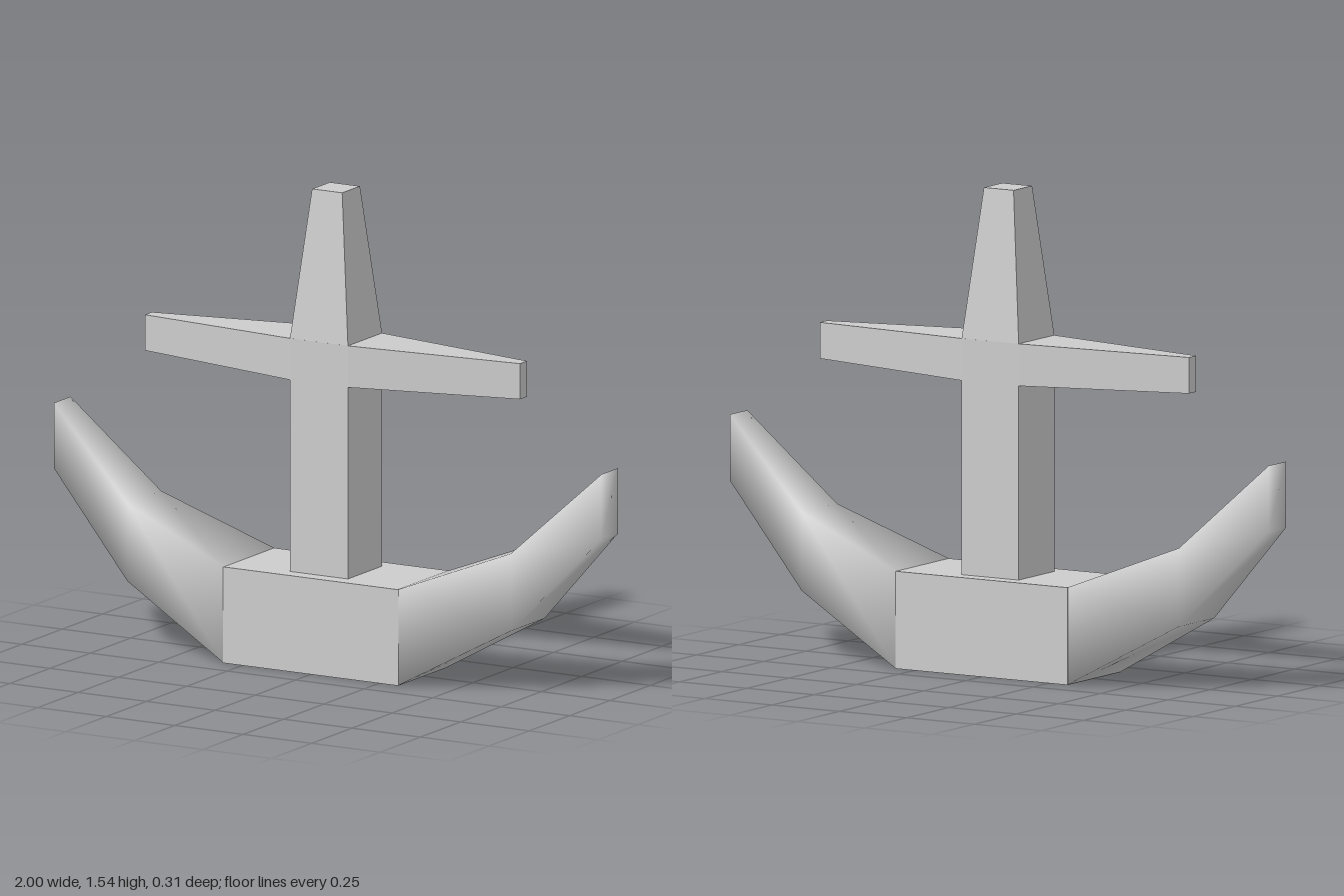
import * as THREE from 'three';

// Skin a row of four-cornered rings, capping both ends.
// Each ring lists its corners anticlockwise as seen from the far end of the row.
function loft(rings, smooth) {
  const index = [];
  const last = (rings.length - 1) * 4;
  for (let r = 0; r < last; r += 4) {
    for (let i = 0; i < 4; i++) {
      const a = r + i, b = r + (i + 1) % 4;
      index.push(a, b, b + 4, a, b + 4, a + 4);
    }
  }
  index.push(0, 2, 1, 0, 3, 2);
  index.push(last, last + 1, last + 2, last, last + 2, last + 3);
  let g = new THREE.BufferGeometry();
  g.setAttribute('position', new THREE.Float32BufferAttribute(rings.flat(2), 3));
  g.setIndex(index);
  if (!smooth) g = g.toNonIndexed();
  g.computeVertexNormals();
  return g;
}

// Rectangular ring across the x axis
const ringX = (x, y0, y1, z) => [[x, y0, z], [x, y0, -z], [x, y1, -z], [x, y1, z]];

// Square ring across the y axis
const ringY = (y, h) => [[-h, y, h], [h, y, h], [h, y, -h], [-h, y, -h]];

export function createModel() {
  const model = new THREE.Group();
  const flat = new THREE.MeshStandardMaterial({ color: 0xcccccc, flatShading: true });
  const soft = new THREE.MeshStandardMaterial({ color: 0xcccccc });

  const add = (name, geometry, material) => {
    const mesh = new THREE.Mesh(geometry, material);
    mesh.name = name;
    model.add(mesh);
    return mesh;
  };

  // Heavy block at the foot
  const crown = add('crown', new THREE.BoxGeometry(0.64, 0.31, 0.314), flat);
  crown.position.y = 0.155;

  // Upright shank, tapering above the crossbar
  add('shank', loft([ringY(0.3, 0.106), ringY(1.06, 0.106), ringY(1.54, 0.055)]), flat);

  // Crossbar, narrowing from the shank to both ends
  add('crossbar', loft([
    ringX(-0.685, 0.94, 1.055, 0.022),
    ringX(-0.106, 0.928, 1.062, 0.106),
    ringX(0.106, 0.928, 1.062, 0.106),
    ringX(0.685, 0.94, 1.055, 0.022),
  ]), flat);

  // Curved arms, the second one turned half way round
  const arm = loft([
    ringX(0.318, 0, 0.31, 0.157),
    ringX(0.7, 0.21, 0.46, 0.105),
    ringX(1, 0.53, 0.74, 0.052),
  ], true);
  add('leftArm', arm, soft);
  add('rightArm', arm, soft).rotation.y = Math.PI;

  return model;
}
